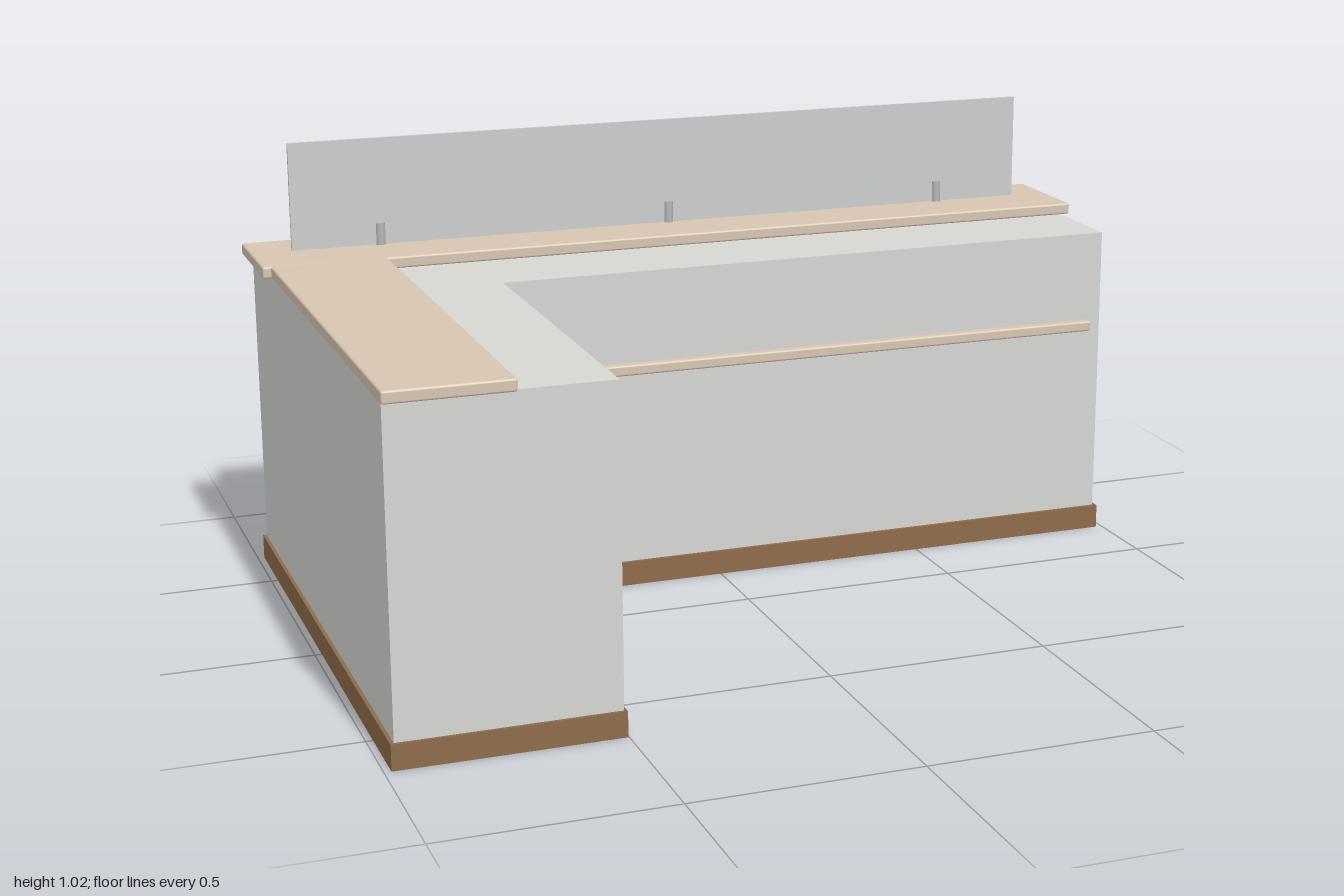
import * as THREE from 'three';
import { RoundedBoxGeometry } from 'three/addons/geometries/RoundedBoxGeometry.js';

const paint = (name, color) => {
  const m = new THREE.MeshStandardMaterial({ color });
  m.name = name;
  return m;
};

export function createModel() {
  const group = new THREE.Group();
  const panel = paint('pale grey panel', 0xd6d6d3);
  const beige = paint('beige top', 0xd8c5b2);
  const wood = paint('brown wood', 0x8f6b4b);
  const glass = paint('grey glass', 0xcbcecc);
  const metal = paint('grey metal', 0xb4b6b8);

  // Box given by its min and max on each axis, with optional rounded edges
  const box = (name, mat, [x0, x1], [y0, y1], [z0, z1], r = 0) => {
    const size = [x1 - x0, y1 - y0, z1 - z0];
    const geo = r ? new RoundedBoxGeometry(...size, 2, r) : new THREE.BoxGeometry(...size);
    const mesh = new THREE.Mesh(geo, mat);
    mesh.name = name;
    mesh.position.set((x0 + x1) / 2, (y0 + y1) / 2, (z0 + z1) / 2);
    group.add(mesh);
  };

  // L-shaped plinth
  box('mainPlinth', wood, [-0.985, 0.985], [0, 0.056], [-0.672, -0.184]);
  box('returnPlinth', wood, [-0.985, -0.502], [0, 0.056], [-0.184, 0.662]);

  // Cabinets
  box('mainCabinet', panel, [-0.977, 0.977], [0.056, 0.743], [-0.664, -0.192]);
  box('returnCabinet', panel, [-0.977, -0.508], [0.056, 0.743], [-0.192, 0.655]);

  // Worktops
  box('mainTop', beige, [-1, 1], [0.743, 0.77], [-0.674, -0.41], 0.005);
  box('returnTop', beige, [-0.981, -0.716], [0.743, 0.77], [-0.415, 0.674], 0.005);

  // Front rail
  box('frontRail', beige, [-0.457, 0.942], [0.508, 0.533], [-0.192, -0.166], 0.005);

  // Vertical slats on the back
  for (let i = 0; i < 11; i++) {
    const x = -0.875 + i * 0.175;
    box('backSlat', wood, [x - 0.0075, x + 0.0075], [0.082, 0.677], [-0.675, -0.66]);
  }

  // Screen and its posts
  box('screen', glass, [-0.907, 0.907], [0.771, 1.019], [-0.556, -0.548]);
  for (const x of [-0.7, 0, 0.7]) {
    const post = new THREE.Mesh(new THREE.CylinderGeometry(0.0115, 0.0115, 0.052, 16), metal);
    post.name = 'screenPost';
    post.position.set(x, 0.795, -0.552);
    group.add(post);
  }
  return group;
}
